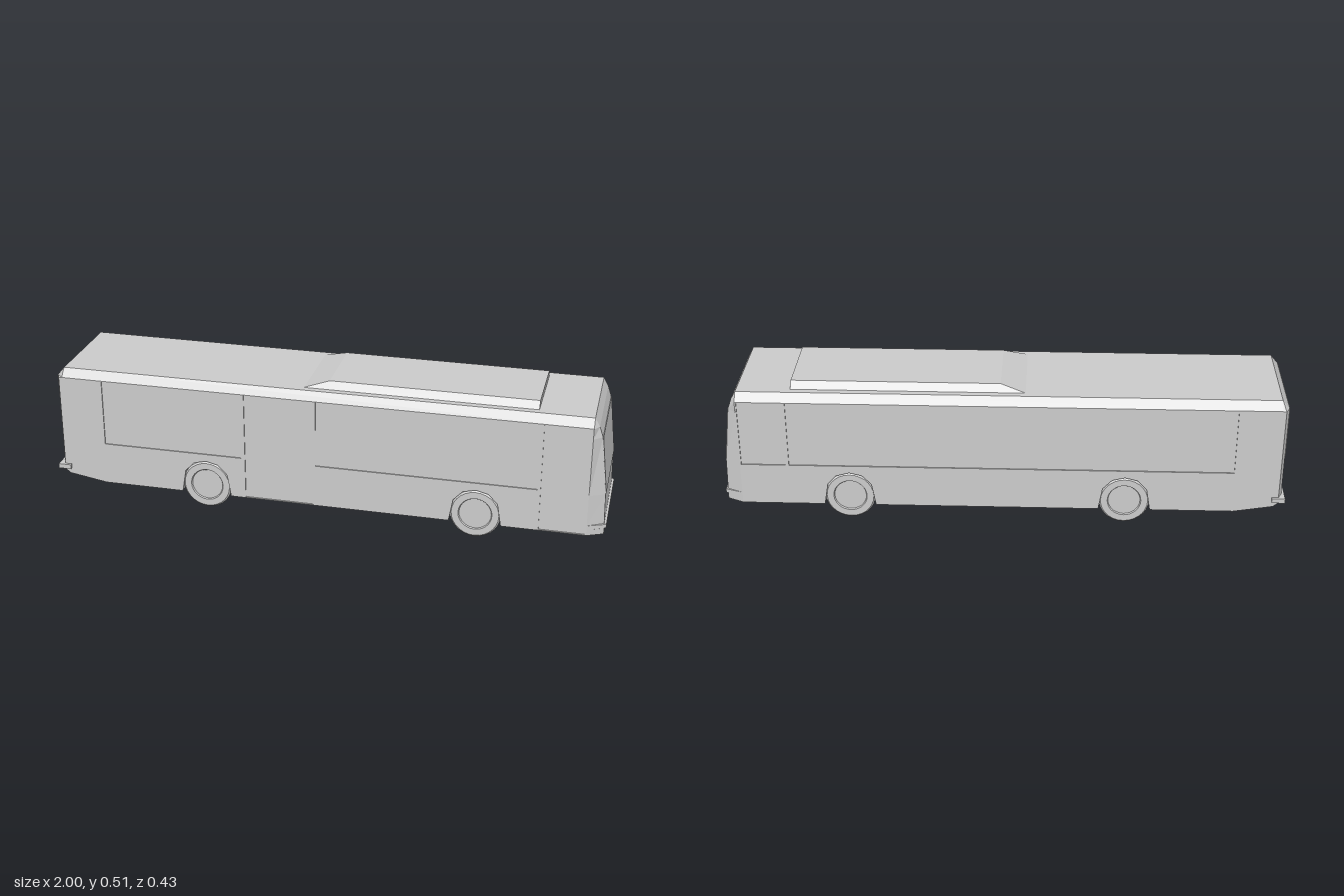
import * as THREE from 'three';

const material = new THREE.MeshStandardMaterial({ color: 0xcccccc, flatShading: true });
const smoothMaterial = new THREE.MeshStandardMaterial({ color: 0xcccccc });
const AXLES = [-0.432, 0.547];
const BOTTOM = 0.057, SIDE = 0.207, SHOULDER = 0.18, CORE = 0.15;

const toShape = (pts) => new THREE.Shape(pts.map(([x, y]) => new THREE.Vector2(x, y)));

const mesh = (name, geometry, mat = material) => {
  const m = new THREE.Mesh(geometry, mat);
  m.name = name;
  return m;
};

const box = (name, x0, x1, y0, y1, z0, z1) => {
  const m = mesh(name, new THREE.BoxGeometry(x1 - x0, y1 - y0, Math.abs(z1 - z0)));
  m.position.set((x0 + x1) / 2, (y0 + y1) / 2, (z0 + z1) / 2);
  return m;
};

// Side profile extruded across the width, symmetric about z = 0
const across = (name, pts, half) => {
  const g = new THREE.ExtrudeGeometry(toShape(pts), { depth: 2 * half, bevelEnabled: false });
  return mesh(name, g.translate(0, 0, -half));
};

// Outline of the bus from the side, with or without wheel arches
function profile(withArches) {
  const pts = [[-0.82, BOTTOM]];
  if (withArches) {
    const arch = [[-0.092, BOTTOM], [-0.078, 0.14], [-0.045, 0.175], [0, 0.186],
      [0.045, 0.175], [0.078, 0.14], [0.092, BOTTOM]];
    for (const cx of AXLES) arch.forEach(([x, y]) => pts.push([cx + x, y]));
  }
  pts.push([0.993, BOTTOM], [0.993, 0.079], [1, 0.081], [1, 0.095], [0.992, 0.098],
    [0.989, 0.21], [0.965, 0.422], [0.952, 0.46], [0.935, 0.49],
    [-0.965, 0.49], [-0.99, 0.46], [-0.99, 0.095], [-0.96, 0.08]);
  return pts;
}

// One side wall: arches, recessed openings, chamfered roof edge and corners
function sideWall(name, s, openings) {
  const group = new THREE.Group();
  group.name = name;
  const shape = toShape(profile(true));
  for (const [label, x0, x1, y0, y1] of openings) {
    shape.holes.push(new THREE.Path([[x0, y0], [x0, y1], [x1, y1], [x1, y0]]
      .map(([x, y]) => new THREE.Vector2(x, y))));
    group.add(box(label, x0, x1, y0, y1, s * CORE, s * (SIDE - 0.004)));
  }
  const g = new THREE.ExtrudeGeometry(shape, { depth: 1, steps: 2, bevelEnabled: false });
  const layers = s > 0 ? [CORE, SHOULDER, SIDE] : [-SIDE, -SHOULDER, -CORE];
  const p = g.attributes.position;
  for (let i = 0; i < p.count; i++) {
    const z = layers[Math.round(p.getZ(i) * 2)];
    p.setZ(i, z);
    if (Math.abs(z) === SIDE) {
      p.setX(i, THREE.MathUtils.clamp(p.getX(i), -0.977, 0.935));
      p.setY(i, Math.min(p.getY(i), 0.461));
    }
  }
  g.computeVertexNormals();
  group.add(mesh('wallPanel', g));
  return group;
}

// Roof unit with a ramped rear end and sloping flanks
function roofUnit() {
  const unit = across('roofUnit', [[-0.085, 0.488], [0.745, 0.488], [0.745, 0.515], [0.01, 0.515]], 1);
  const p = unit.geometry.attributes.position;
  for (let i = 0; i < p.count; i++) {
    p.setZ(i, p.getZ(i) * (p.getY(i) > 0.5 ? 0.135 : 0.158));
  }
  unit.geometry.computeVertexNormals();
  return unit;
}

// Tyre and hub, each a lathe turned to face outwards
function wheel(x, s) {
  const group = new THREE.Group();
  group.name = 'wheel';
  const lathe = (pts) => new THREE.LatheGeometry(pts.map(([r, h]) => new THREE.Vector2(r, h)), 28);
  group.add(mesh('tread', lathe([[0.09, 0], [0.09, 0.042]]), smoothMaterial));
  group.add(mesh('sidewall', lathe([[0.09, 0.042], [0.084, 0.048], [0.06, 0.048], [0.057, 0.043], [0, 0.043]])));
  group.add(mesh('innerFace', lathe([[0, 0], [0.09, 0]])));
  group.rotation.x = s * Math.PI / 2;
  group.position.set(x, 0.09, s * 0.153);
  return group;
}

export function createModel() {
  const bus = new THREE.Group();
  bus.name = 'bus';
  bus.add(across('bodyCore', profile(false), CORE));

  // Door side and driver side
  bus.add(sideWall('doorSide', 1, [
    ['rearWindow', -0.815, -0.3, 0.213, 0.459],
    ['middleDoor', -0.285, -0.035, 0.06, 0.459],
    ['longWindow', -0.025, 0.76, 0.213, 0.459],
    ['frontDoor', 0.77, 0.93, 0.06, 0.459],
  ]));
  bus.add(sideWall('driverSide', -1, [
    ['longWindow', -0.815, 0.76, 0.213, 0.459],
    ['driverWindow', 0.772, 0.93, 0.213, 0.459],
  ]));

  // Front and rear panels
  bus.add(across('windscreen', [[0.93, 0.212], [0.991, 0.212], [0.967, 0.421], [0.93, 0.421]], 0.179));
  bus.add(box('rearPanel', -0.992, -0.95, 0.27, 0.458, -0.178, 0.178));
  bus.add(box('rearBumper', -1, -0.953, 0.1, 0.117, -0.217, 0.217));

  bus.add(roofUnit());
  for (const x of AXLES) for (const s of [1, -1]) bus.add(wheel(x, s));
  return bus;
}
